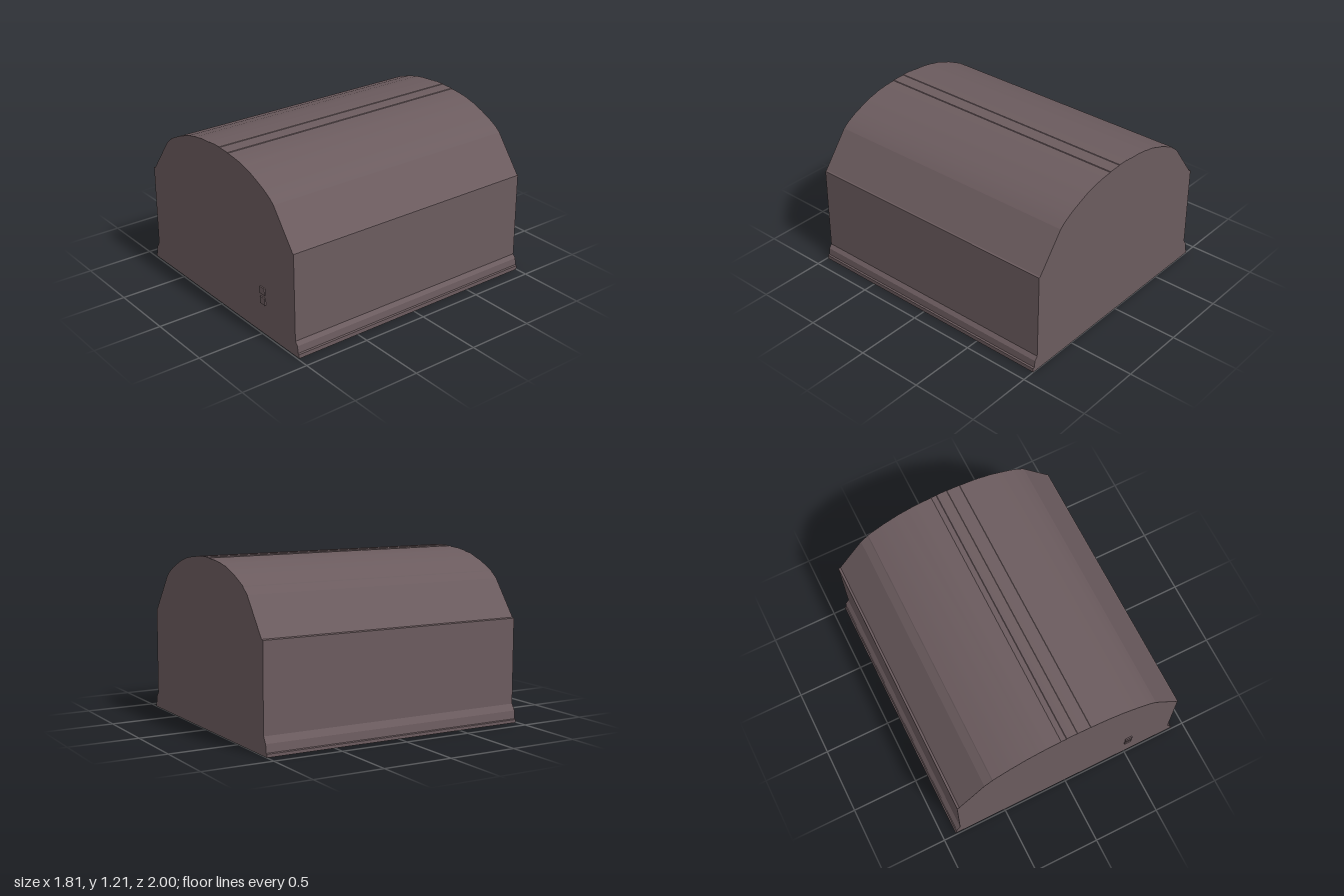
import * as THREE from 'three';
import { toCreasedNormals } from 'three/addons/utils/BufferGeometryUtils.js';

export function createModel() {
  const group = new THREE.Group();
  const shell = new THREE.MeshStandardMaterial({ color: 0x6b5b5e });
  shell.name = 'dusky mauve';

  // Hall cross-section, counter-clockwise from the lower left plinth
  const profile = [
    [-0.905, 0], [0.905, 0], [0.905, 0.03], [0.893, 0.034], [0.888, 0.085],
    [0.865, 0.112], [0.862, 0.4], [0.858, 0.745], [0.848, 0.75],
    // vaulted roof with shallow stepped seams
    [0.65, 1.01], [0.61, 1.043], [0.54, 1.083], [0.46, 1.118], [0.38, 1.15],
    [0.312, 1.167], [0.292, 1.174], [0.21, 1.187], [0.138, 1.194], [0.134, 1.198],
    [0.038, 1.202], [0.034, 1.205], [-0.043, 1.205], [-0.047, 1.202],
    [-0.085, 1.201], [-0.089, 1.198], [-0.18, 1.193], [-0.258, 1.182],
    [-0.278, 1.176], [-0.34, 1.165], [-0.4, 1.143], [-0.46, 1.123],
    [-0.53, 1.09], [-0.588, 1.062], [-0.594, 1.054], [-0.65, 1.01],
    // left wall and plinth
    [-0.845, 0.75], [-0.862, 0.745], [-0.862, 0.13], [-0.89, 0.085],
    [-0.896, 0.027], [-0.905, 0.022],
  ];
  const shape = new THREE.Shape(profile.map(([x, y]) => new THREE.Vector2(x, y)));
  const bodyGeometry = new THREE.ExtrudeGeometry(shape, { depth: 1.99, bevelEnabled: false });
  bodyGeometry.translate(0, 0, -1);
  const body = new THREE.Mesh(toCreasedNormals(bodyGeometry, 0.2), shell);
  body.name = 'vaultedHall';
  group.add(body);

  // Two small square plates on the front wall
  [['upperPlate', 0.33], ['lowerPlate', 0.255]].forEach(([name, y]) => {
    const plate = new THREE.Mesh(new THREE.BoxGeometry(0.054, 0.05, 0.0098), shell);
    plate.position.set(0.508, y, 0.9951);
    plate.name = name;
    group.add(plate);
  });

  return group;
}
